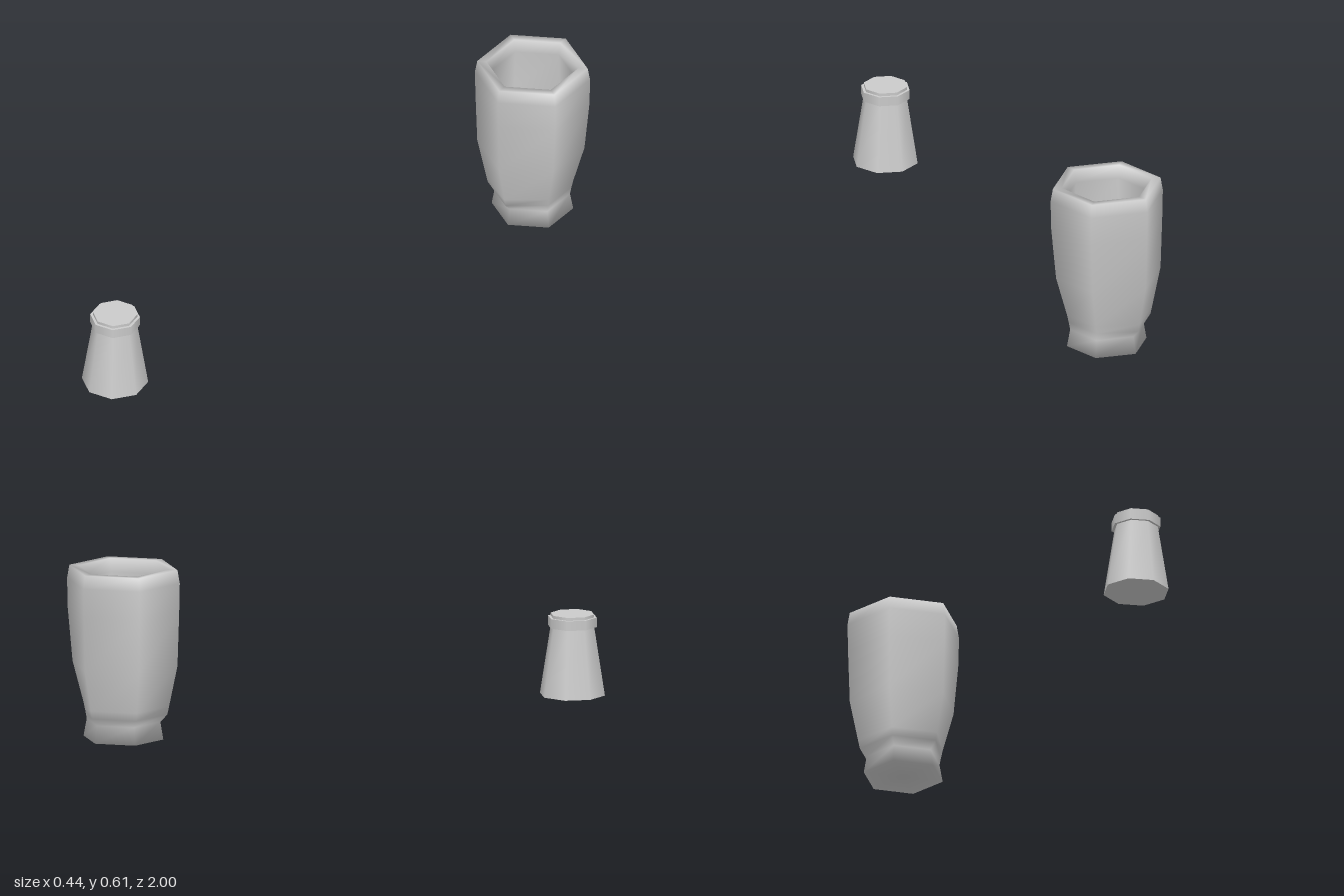
import * as THREE from 'three';

const material = new THREE.MeshStandardMaterial({ color: 0xcccccc });
const SIDES = 6;
const TURN = THREE.MathUtils.degToRad(16);

// Each ring: height, radius, radius of the two corners beside the pinched side
const VASE_RINGS = [
  [0.02, 0, 0], [0.02, 0.138, 0.138], [0.08, 0.128, 0.127], // foot
  [0.107, 0.152, 0.132], [0.135, 0.158, 0.138], [0.275, 0.187, 0.176], // lower body
  [0.46, 0.193, 0.193], [0.56, 0.195, 0.195], [0.605, 0.187, 0.187], // upper body
  [0.605, 0.156, 0.156], [0.56, 0.148, 0.148], [0.4, 0.155, 0.155], // rim and inside
  [0.25, 0.142, 0.138], [0.14, 0.105, 0.1], [0.11, 0, 0],
];

// Hexagonal skin through the rings, running up the outside and down the inside
function vaseGeometry() {
  const positions = [];
  const index = [];
  VASE_RINGS.forEach(([y, radius, pinched], ring) => {
    for (let k = 0; k < SIDES; k++) {
      const angle = TURN + (k / SIDES) * Math.PI * 2;
      const r = k === 0 || k === SIDES - 1 ? pinched : radius;
      positions.push(r * Math.cos(angle), y, r * Math.sin(angle));
      if (ring === VASE_RINGS.length - 1) continue;
      const a = ring * SIDES + k;
      const b = ring * SIDES + ((k + 1) % SIDES);
      const c = a + SIDES;
      const d = b + SIDES;
      if (ring > 0) index.push(a, c, b);
      if (ring < VASE_RINGS.length - 2) index.push(b, c, d);
    }
  });
  // Close the base and the inner floor
  const geometry = new THREE.BufferGeometry();
  geometry.setAttribute('position', new THREE.Float32BufferAttribute(positions, 3));
  geometry.setIndex(index);
  geometry.computeVertexNormals();
  // The centre points share one vertical normal
  const normal = geometry.attributes.normal;
  const last = (VASE_RINGS.length - 1) * SIDES;
  for (let k = 0; k < SIDES; k++) {
    normal.setXYZ(k, 0, -1, 0);
    normal.setXYZ(last + k, 0, 1, 0);
  }
  return geometry;
}

// Eight-sided section between two heights
function section(name, topRadius, bottomRadius, y0, y1) {
  const geometry = new THREE.CylinderGeometry(topRadius, bottomRadius, y1 - y0, 8);
  const mesh = new THREE.Mesh(geometry, material);
  mesh.name = name;
  mesh.position.y = (y0 + y1) / 2;
  return mesh;
}

export function createModel() {
  const model = new THREE.Group();
  model.name = 'vaseAndPedestal';

  const vase = new THREE.Mesh(vaseGeometry(), material);
  vase.name = 'vase';
  vase.position.set(0.031, 0, -0.812);
  model.add(vase);

  // Small tapered pedestal with a collar and a cap
  const pedestal = new THREE.Group();
  pedestal.name = 'pedestal';
  pedestal.position.set(-0.107, 0, 0.888);
  pedestal.add(
    section('pedestalBody', 0.075, 0.112, 0, 0.235),
    section('pedestalCollar', 0.084, 0.084, 0.234, 0.267),
    section('pedestalCap', 0.075, 0.075, 0.265, 0.277),
  );
  model.add(pedestal);

  return model;
}
